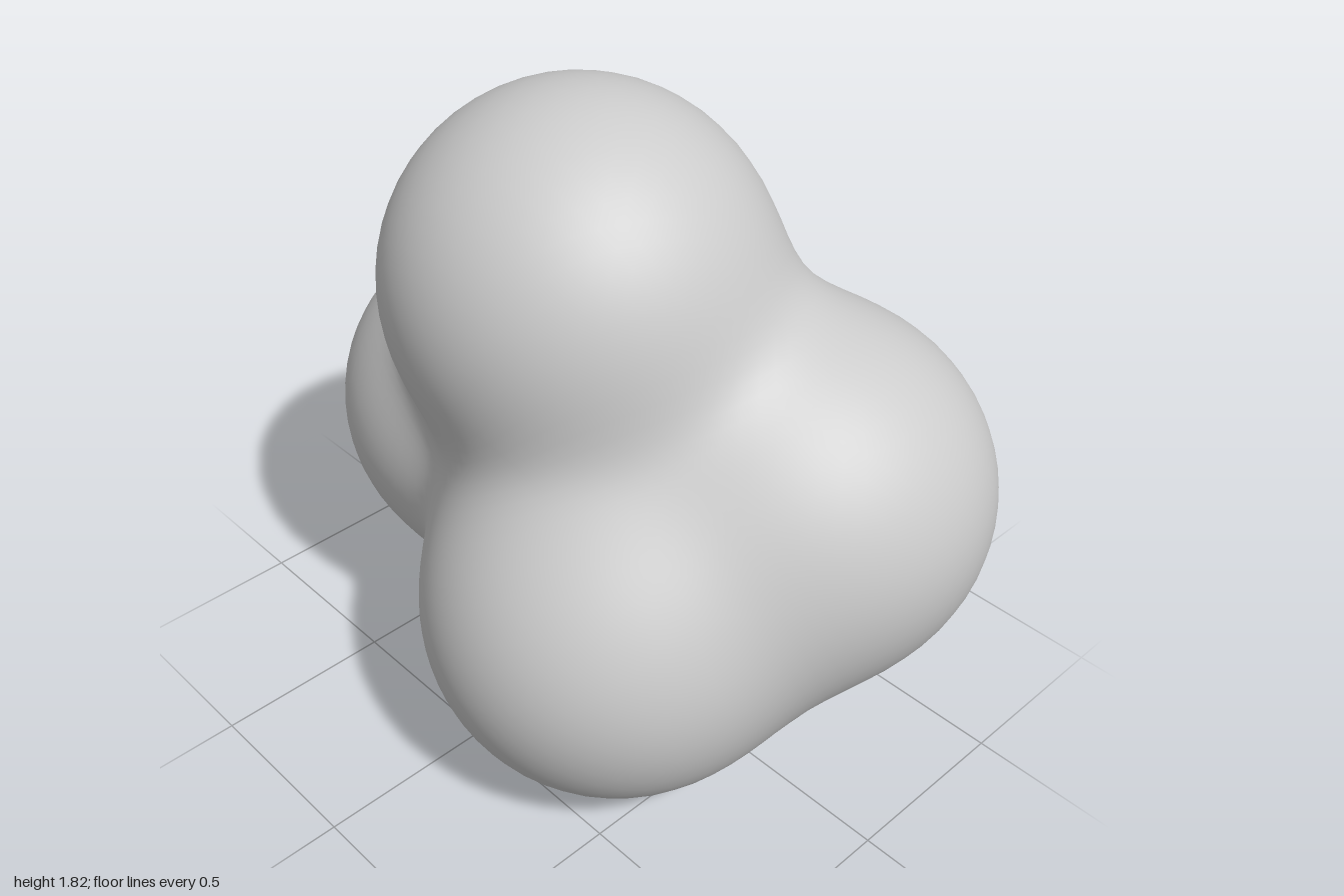
import * as THREE from 'three';
import { mergeVertices } from 'three/addons/utils/BufferGeometryUtils.js';

// Four equal balls melted together: centre of each
const RADIUS = 0.51;
const BALLS = [
  [-0.03, 1.31, 0.07],  // top
  [-0.49, 0.65, -0.09], // right side
  [0.27, 0.51, 0.23],   // front bottom
  [0.49, 0.77, -0.23],  // back left
].map((c) => new THREE.Vector3(...c));
const SHARPNESS = 10; // lower values give fuller necks between balls

// Smooth union of the spheres, as a distance
function distance(p) {
  let sum = 0;
  for (const c of BALLS) sum += Math.exp(-SHARPNESS * (p.distanceTo(c) - RADIUS));
  return -Math.log(sum) / SHARPNESS;
}

export function createModel() {
  const centre = new THREE.Vector3();
  BALLS.forEach((c) => centre.addScaledVector(c, 1 / BALLS.length));

  // Shrink-wrap a fine icosphere onto the blended surface
  let geometry = new THREE.IcosahedronGeometry(1, 18);
  geometry.deleteAttribute('normal');
  geometry.deleteAttribute('uv');
  geometry = mergeVertices(geometry, 1e-4);
  const position = geometry.attributes.position;
  const dir = new THREE.Vector3();
  const point = new THREE.Vector3();
  for (let i = 0; i < position.count; i++) {
    dir.fromBufferAttribute(position, i).normalize();
    let t = 1.6;
    for (let step = 0; step < 100; step++) {
      const d = distance(point.copy(centre).addScaledVector(dir, t));
      if (d < 1e-4) break;
      t -= d;
    }
    position.setXYZ(i, point.x, Math.max(point.y, 0), point.z);
  }
  geometry.computeVertexNormals();

  const blob = new THREE.Mesh(geometry, new THREE.MeshStandardMaterial({ color: 0xcccccc }));
  blob.name = 'blendedBalls';
  const group = new THREE.Group();
  group.name = 'fourBallBlob';
  group.add(blob);
  return group;
}
